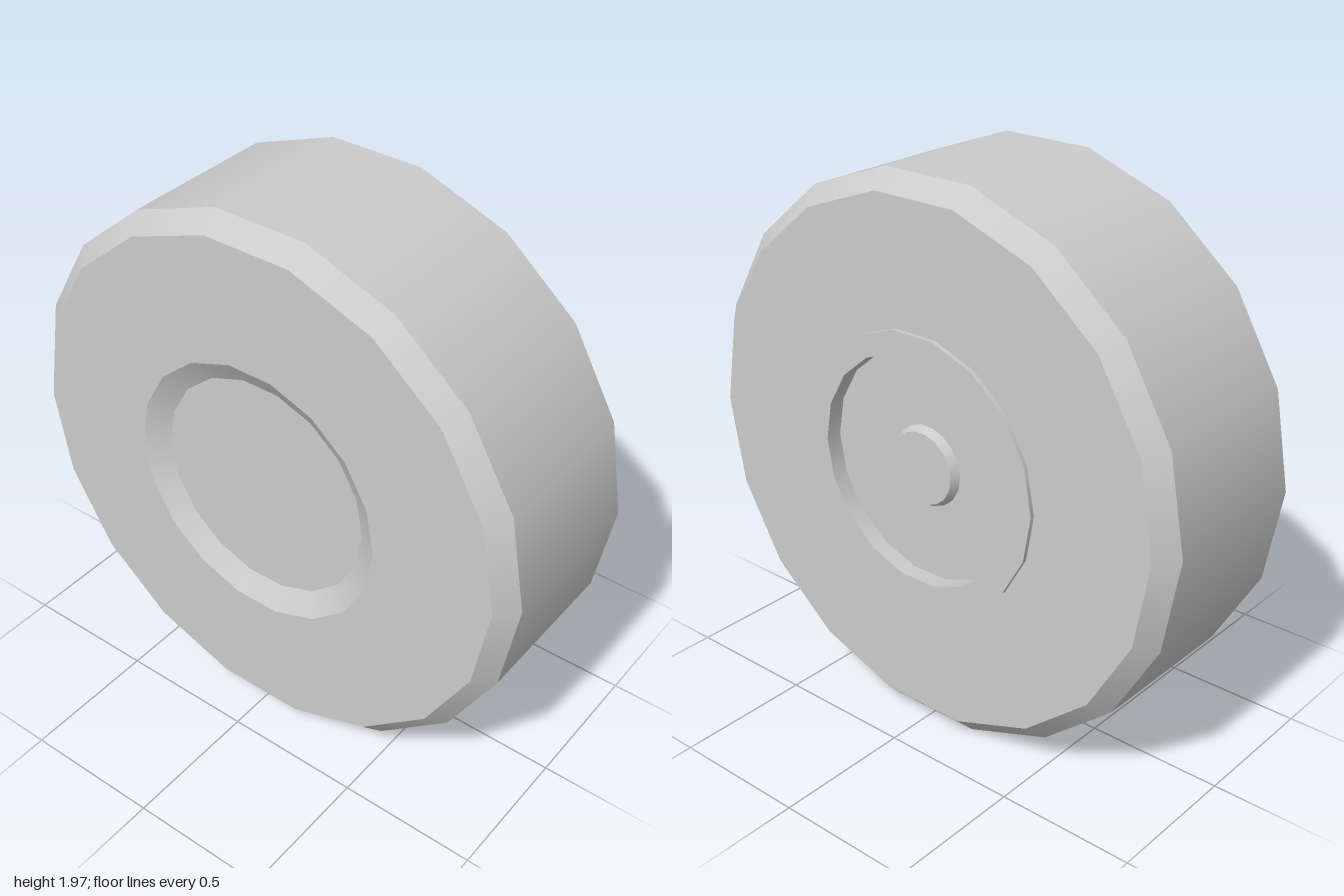
import * as THREE from 'three';
import { mergeGeometries } from 'three/addons/utils/BufferGeometryUtils.js';

const SIDES = 18;
const AXLE_Y = 0.985;

// Revolves a [radius, x] profile around the x axis; each band is smooth around
// the wheel, with hard edges between bands.
function revolve(name, profile, material) {
  const bands = [];
  for (let i = 0; i < profile.length - 1; i++) {
    const pair = [profile[i], profile[i + 1]].map(([r, x]) => new THREE.Vector2(r, x));
    bands.push(new THREE.LatheGeometry(pair, SIDES));
  }
  const geometry = mergeGeometries(bands);
  geometry.rotateZ(-Math.PI / 2);
  const mesh = new THREE.Mesh(geometry, material);
  mesh.name = name;
  mesh.position.y = AXLE_Y;
  return mesh;
}

export function createModel() {
  const group = new THREE.Group();
  group.name = 'wheel';
  const grey = new THREE.MeshStandardMaterial({ color: 0xcccccc });

  // Chamfered tyre with flat side walls
  group.add(revolve('tyre', [
    [0.49, -0.37], [0.935, -0.37], [1, -0.305], [1, 0.285], [0.935, 0.35], [0.49, 0.35],
  ], grey));

  // Shallow tapered recess on the inner side
  group.add(revolve('innerRecess', [[0, -0.32], [0.41, -0.32], [0.49, -0.37]], grey));

  // Raised rim ring and the sunken disc inside it
  group.add(revolve('rimRing', [[0.49, 0.35], [0.49, 0.366], [0.41, 0.366], [0.41, 0.305]], grey));
  group.add(revolve('rimDisc', [[0.41, 0.305], [0, 0.305]], grey));

  // Small tapered hub cap
  const hub = revolve('hubCap', [[0.145, 0.305], [0.13, 0.335], [0, 0.335]], grey);
  hub.position.y = 0.99;
  group.add(hub);

  return group;
}
